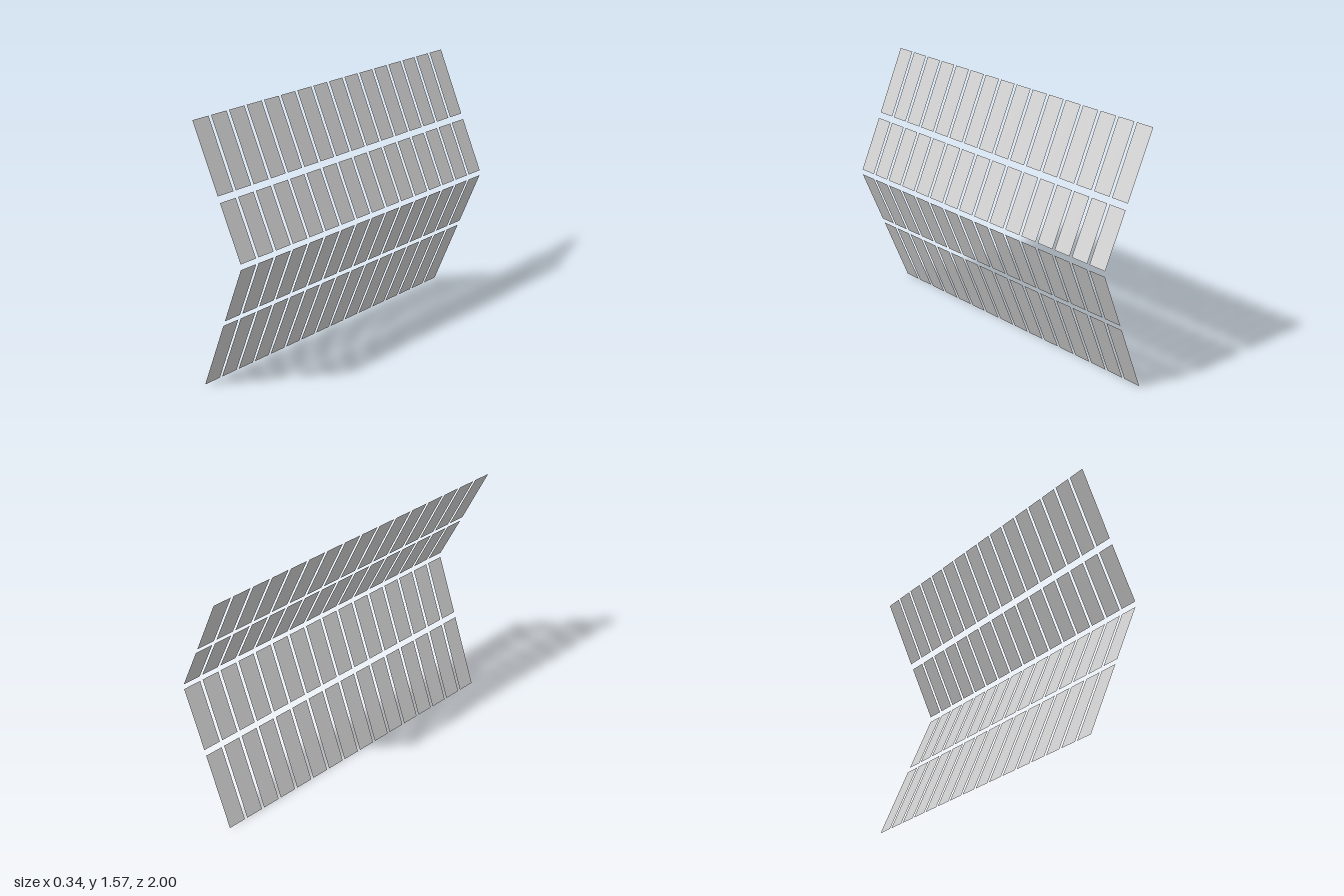
import * as THREE from 'three';

const COUNT = 16;      // panels per row
const WIDTH = 0.109;   // panel width along z
const PITCH = (2 - WIDTH) / (COUNT - 1);

// Each row runs from its lower edge to its upper edge, as [x, y]
const ROWS = [
  { name: 'bottomRow', low: [-0.173, 0], high: [0.009, 0.436] },
  { name: 'lowerMiddleRow', low: [0.023, 0.469], high: [0.171, 0.821] },
  { name: 'upperMiddleRow', low: [0.171, 0.854], high: [0.023, 1.159] },
  { name: 'topRow', low: [0.007, 1.192], high: [-0.173, 1.57] },
];

export function createModel() {
  const model = new THREE.Group();
  model.name = 'foldedPanelWall';
  const material = new THREE.MeshStandardMaterial({ color: 0xcccccc, side: THREE.DoubleSide });

  for (const { name, low, high } of ROWS) {
    const dx = high[0] - low[0];
    const dy = high[1] - low[1];

    // Flat panel facing +x, leaned over to follow the fold
    const geometry = new THREE.PlaneGeometry(WIDTH, Math.hypot(dx, dy));
    geometry.rotateY(Math.PI / 2);
    geometry.rotateZ(-Math.atan2(dx, dy));

    const row = new THREE.Group();
    row.name = name;
    row.position.set((low[0] + high[0]) / 2, (low[1] + high[1]) / 2, 0);
    for (let i = 0; i < COUNT; i++) {
      const panel = new THREE.Mesh(geometry, material);
      panel.name = 'panel';
      panel.position.z = (i - (COUNT - 1) / 2) * PITCH;
      row.add(panel);
    }
    model.add(row);
  }
  return model;
}
